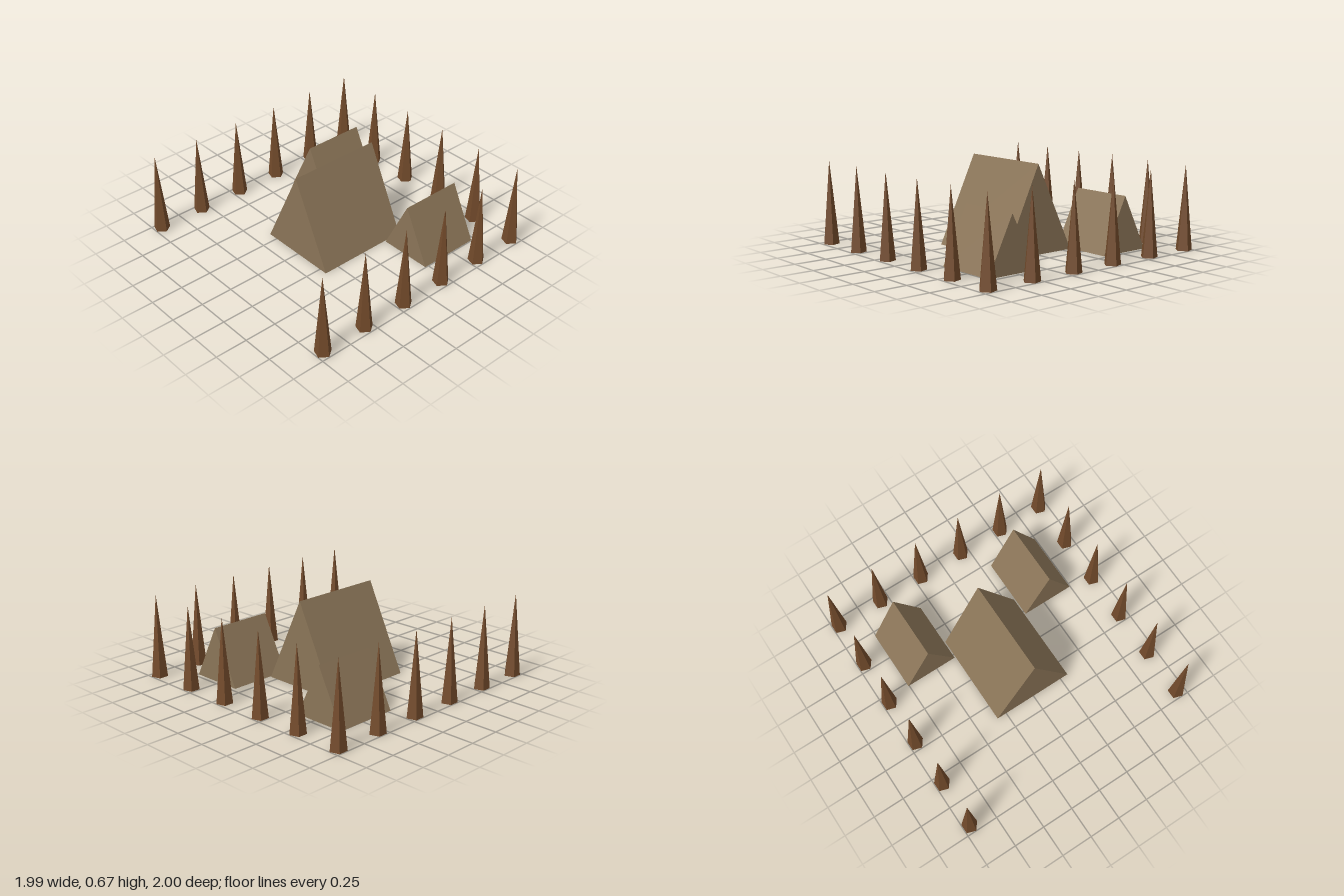
import * as THREE from 'three';

const canvas = new THREE.MeshStandardMaterial({ color: 0x8b7558, side: THREE.DoubleSide });
canvas.name = 'canvas';
const wood = new THREE.MeshStandardMaterial({ color: 0x734b2b, side: THREE.DoubleSide });
wood.name = 'wood';

const SHIFT = -0.006; // the five-sided stakes reach further on +x, so the camp sits slightly left

// Tent with two slopes and two gables, open underneath, its ridge running along z
function makeTent(name, width, height, depth, x, z) {
  const w = width / 2;
  const d = depth / 2;
  const indexed = new THREE.BufferGeometry();
  indexed.setAttribute('position', new THREE.Float32BufferAttribute([
    -w, 0, d, w, 0, d, 0, height, d,
    -w, 0, -d, w, 0, -d, 0, height, -d
  ], 3));
  indexed.setIndex([
    0, 1, 2, 4, 3, 5, // gables
    1, 4, 5, 1, 5, 2, // left slope
    3, 0, 2, 3, 2, 5 // right slope
  ]);
  const geometry = indexed.toNonIndexed();
  geometry.computeVertexNormals();
  const tent = new THREE.Mesh(geometry, canvas);
  tent.name = name;
  tent.position.set(x, 0, z);
  return tent;
}

export function createModel() {
  const camp = new THREE.Group();
  camp.name = 'camp';

  // Tents
  camp.add(
    makeTent('mainTent', 0.643, 0.668, 0.743, SHIFT, 0),
    makeTent('leftTent', 0.42, 0.42, 0.495, SHIFT + 0.541, -0.47),
    makeTent('rightTent', 0.42, 0.42, 0.495, SHIFT - 0.541, -0.47)
  );

  // Palisade: hollow pointed stakes around three sides, open at the front
  const palisade = new THREE.Group();
  palisade.name = 'palisade';
  const stakeGeometry = new THREE.ConeGeometry(0.0625, 0.64, 5, 1, true).toNonIndexed();
  stakeGeometry.rotateY(Math.PI / 2);
  stakeGeometry.translate(0, 0.32, 0);
  stakeGeometry.computeVertexNormals();
  const count = 6;
  const reach = 0.94;
  for (let row = 0; row < count; row++) {
    for (let col = 0; col < count; col++) {
      if (row > 0 && col > 0 && col < count - 1) continue;
      const stake = new THREE.Mesh(stakeGeometry, wood);
      stake.name = 'stake';
      const step = (2 * reach) / (count - 1);
      stake.position.set(SHIFT - reach + col * step, 0, -reach + row * step);
      palisade.add(stake);
    }
  }
  camp.add(palisade);
  return camp;
}
